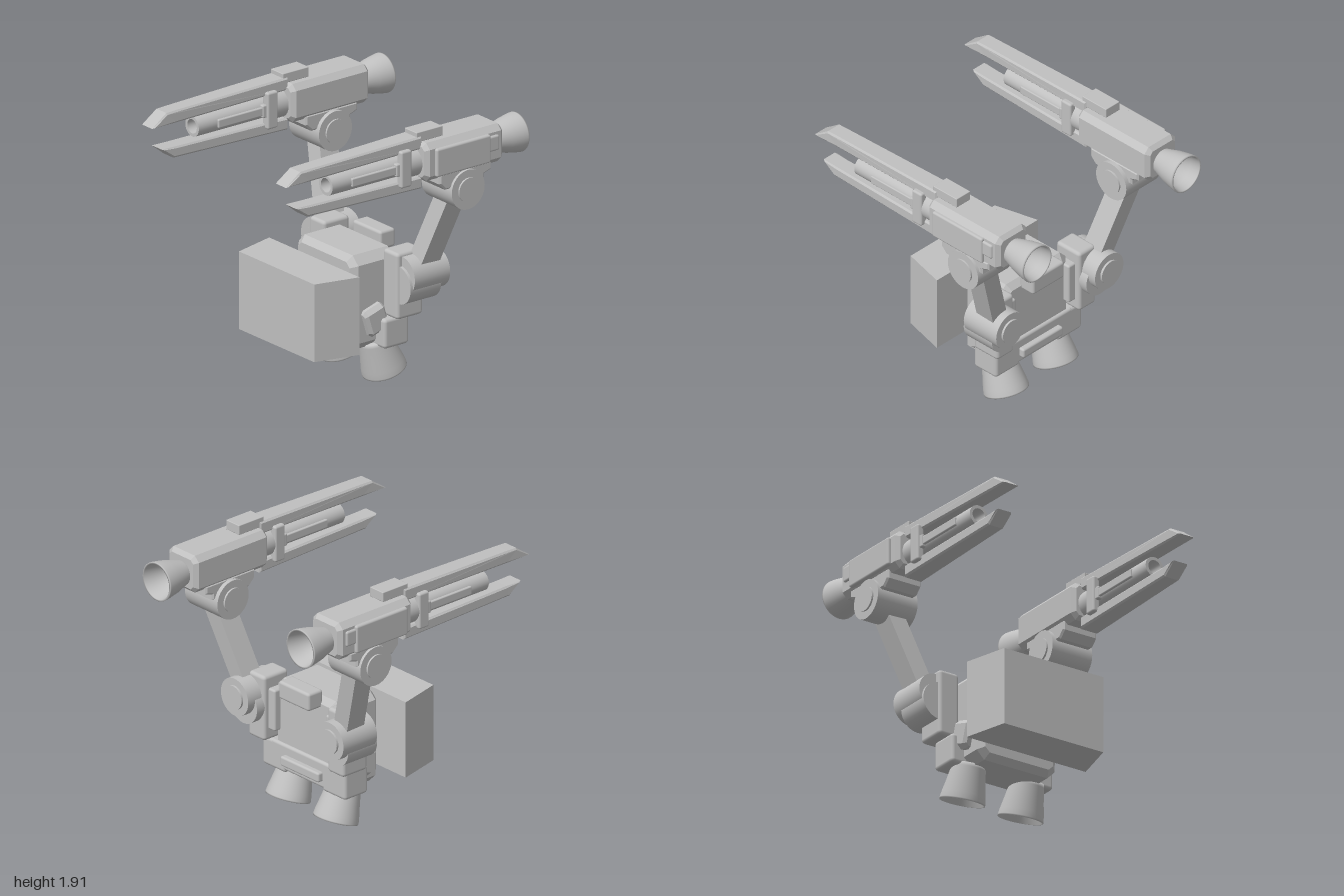
import * as THREE from 'three';
import { RoundedBoxGeometry } from 'three/addons/geometries/RoundedBoxGeometry.js';

export function createModel() {
  const model = new THREE.Group();
  model.name = 'twinCannonBackpack';
  const grey = new THREE.MeshStandardMaterial({ color: 0xc0c0c0, side: THREE.DoubleSide });
  grey.name = 'grey';

  const add = (parent, name, geometry, x = 0, y = 0, z = 0) => {
    const mesh = new THREE.Mesh(geometry, grey);
    mesh.name = name;
    mesh.position.set(x, y, z);
    parent.add(mesh);
    return mesh;
  };
  const flat = (g) => {
    const out = g.index ? g.toNonIndexed() : g;
    out.computeVertexNormals();
    return out;
  };
  // box given by its limits on each axis, with soft edges
  const box = (parent, name, [x0, x1], [y0, y1], [z0, z1], r = 0.015) =>
    add(parent, name, new RoundedBoxGeometry(x1 - x0, y1 - y0, z1 - z0, 2, r),
      (x0 + x1) / 2, (y0 + y1) / 2, (z0 + z1) / 2);

  // box with cut corners and bevelled front and back
  const chamferBox = (w, h, d, c) => {
    const a = w / 2, b = h / 2;
    const shape = new THREE.Shape([
      [-a + c, -b], [a - c, -b], [a, -b + c], [a, b - c],
      [a - c, b], [-a + c, b], [-a, b - c], [-a, -b + c],
    ].map(([x, y]) => new THREE.Vector2(x, y)));
    const bevel = c * 0.7;
    const g = new THREE.ExtrudeGeometry(shape, {
      depth: d - 2 * bevel, bevelThickness: bevel, bevelSize: bevel, bevelOffset: -bevel, bevelSegments: 1,
    });
    return flat(g.translate(0, 0, bevel - d / 2));
  };

  // side profile of [z, y] points extruded across x
  const sideProfile = (points, width, bevel) => {
    const g = new THREE.ExtrudeGeometry(new THREE.Shape(points.map(([z, y]) => new THREE.Vector2(z, y))), {
      depth: width - 2 * bevel, bevelThickness: bevel, bevelSize: bevel, bevelOffset: -bevel, bevelSegments: 1,
    });
    return g.translate(0, 0, bevel - width / 2).rotateY(-Math.PI / 2);
  };

  const cylX = (r, len) => new THREE.CylinderGeometry(r, r, len, 40).rotateZ(Math.PI / 2);
  const cylZ = (r, len) => new THREE.CylinderGeometry(r, r, len, 40).rotateX(Math.PI / 2);

  // hollow bell with its mouth at y = 0
  const bell = (mouth, neck, h) => new THREE.LatheGeometry([
    [0, h * 0.8], [neck * 0.7, h * 0.8], [mouth * 0.82, h * 0.3], [mouth - 0.012, 0],
    [mouth, 0], [mouth, 0.01], [mouth * 0.96, h * 0.2], [mouth * 0.86, h * 0.5],
    [neck * 1.05, h * 0.9], [neck, h], [0, h],
  ].map(([x, y]) => new THREE.Vector2(x, y)), 40);

  // barrel rail with a slanted, narrowed tip
  const rail = (points) => {
    const g = sideProfile(points, 0.15, 0.012);
    const p = g.attributes.position;
    for (let i = 0; i < p.count; i++) {
      if (p.getZ(i) > 0.79) p.setX(i, p.getX(i) * 0.83);
    }
    return flat(g);
  };

  // Backpack core
  const core = new THREE.Group();
  core.name = 'core';
  model.add(core);
  add(core, 'chestBlock', chamferBox(0.63, 0.67, 0.38, 0.06), 0, 0.585, -0.12);
  box(core, 'topPack', [-0.15, 0.15], [0.85, 0.98], [-0.42, -0.29], 0.02);
  box(core, 'waistBlock', [-0.32, 0.32], [0.28, 0.47], [-0.33, -0.15], 0.02);
  box(core, 'waistBar', [-0.19, 0.19], [0.33, 0.4], [-0.37, -0.3], 0.015);

  // Front box, narrower at its front face
  const trapezoid = new THREE.Shape([[-0.48, -0.15], [-0.4, -0.47], [0.4, -0.47], [0.48, -0.15]]
    .map(([x, y]) => new THREE.Vector2(x, y)));
  add(model, 'frontBox', new THREE.ExtrudeGeometry(trapezoid, { depth: 0.55, bevelEnabled: false })
    .rotateX(-Math.PI / 2), 0, 0.31, 0);

  for (const s of [-1, 1]) {
    const side = new THREE.Group();
    side.name = s > 0 ? 'leftSide' : 'rightSide';
    model.add(side);
    const span = (a, b) => (s > 0 ? [a, b] : [-b, -a]);

    // Column, hip and thruster
    box(side, 'column', span(0.31, 0.47), [0.47, 0.94], [-0.4, -0.18], 0.025);
    box(side, 'columnLink', span(0.25, 0.34), [0.55, 0.85], [-0.36, -0.2]);
    box(side, 'hip', span(0.18, 0.41), [0.26, 0.47], [-0.33, -0.12], 0.025);
    const pod = add(side, 'sidePod', chamferBox(0.14, 0.2, 0.17, 0.03), s * 0.3, 0.46, -0.1);
    pod.rotation.x = 0.3;
    const thruster = add(side, 'thruster', bell(0.155, 0.11, 0.26), s * 0.235, 0.05, -0.255);
    thruster.rotation.x = 0.33;

    // Lower arm joint
    add(side, 'lowerJoint', cylZ(0.135, 0.3), s * 0.47, 0.78, -0.37);
    add(side, 'lowerJointCap', cylZ(0.085, 0.3), s * 0.47, 0.78, -0.385);
    add(side, 'lowerJointFlange', cylZ(0.135, 0.26), s * 0.45, 0.715, -0.33);

    // Slanted arm
    const from = new THREE.Vector3(s * 0.47, 0.78, -0.365);
    const to = new THREE.Vector3(s * 0.71, 1.44, -0.475);
    const dir = to.clone().sub(from);
    const mid = from.clone().add(to).multiplyScalar(0.5);
    const arm = add(side, 'arm', new THREE.BoxGeometry(0.13, dir.length(), 0.155), mid.x, mid.y, mid.z);
    arm.quaternion.setFromUnitVectors(new THREE.Vector3(0, 1, 0), dir.normalize());

    // Upper arm joint
    add(side, 'upperJoint', cylX(0.14, 0.32), s * 0.705, 1.45, -0.465);
    add(side, 'upperJointCap', cylX(0.085, 0.345), s * 0.705, 1.45, -0.465);

    // Cannon, centred on its own x
    const cannon = new THREE.Group();
    cannon.name = 'cannon';
    cannon.position.x = s * 0.71;
    side.add(cannon);
    add(cannon, 'housing', chamferBox(0.29, 0.27, 0.66, 0.04), 0, 1.705, -0.45);
    add(cannon, 'housingBase', flat(sideProfile(
      [[-0.24, 1.6], [-0.24, 1.53], [-0.29, 1.48], [-0.62, 1.48], [-0.62, 1.52], [-0.68, 1.54], [-0.68, 1.6]],
      0.27, 0.012)));
    box(cannon, 'sidePanel', span(0.13, 0.17), [1.6, 1.8], [-0.65, -0.19]);
    box(cannon, 'panelLatch', span(0.12, 0.16), [1.67, 1.78], [-0.73, -0.63]);
    box(cannon, 'sightBlock', [-0.065, 0.065], [1.84, 1.91], [-0.32, -0.1], 0.005);
    add(cannon, 'upperRail', rail([
      [-0.14, 1.79], [0.8, 1.775], [1.0, 1.775], [0.88, 1.86], [0.8, 1.863], [-0.14, 1.88]]));
    add(cannon, 'lowerRail', rail([
      [-0.14, 1.51], [0.8, 1.53], [0.82, 1.53], [0.92, 1.61], [0.8, 1.607], [-0.14, 1.595]]));

    // Barrel with an open bore
    const barrel = new THREE.LatheGeometry([
      [0, 0.5], [0.05, 0.5], [0.05, 0.74], [0.05, 0.74], [0.072, 0.74], [0.072, 0.74], [0.072, 0],
    ].map(([x, y]) => new THREE.Vector2(x, y)).reverse(), 40).rotateX(Math.PI / 2);
    add(cannon, 'barrel', barrel, 0, 1.69, -0.12);
    add(cannon, 'barrelCollar', cylZ(0.1, 0.14), 0, 1.69, -0.09);
    for (const t of [-1, 1]) {
      box(cannon, 'barrelClamp', t > 0 ? [0.05, 0.105] : [-0.105, -0.05], [1.56, 1.82], [-0.03, 0.06]);
      box(cannon, 'barrelStrip', t > 0 ? [0.05, 0.083] : [-0.083, -0.05], [1.66, 1.72], [-0.1, 0.46], 0.008);
    }
    box(cannon, 'clampBlock', [-0.09, 0.09], [1.645, 1.735], [-0.1, 0.09], 0.01);
    const exhaust = add(cannon, 'exhaust', bell(0.137, 0.085, 0.24), 0, 1.69, -1);
    exhaust.rotation.x = Math.PI / 2;
  }
  return model;
}
